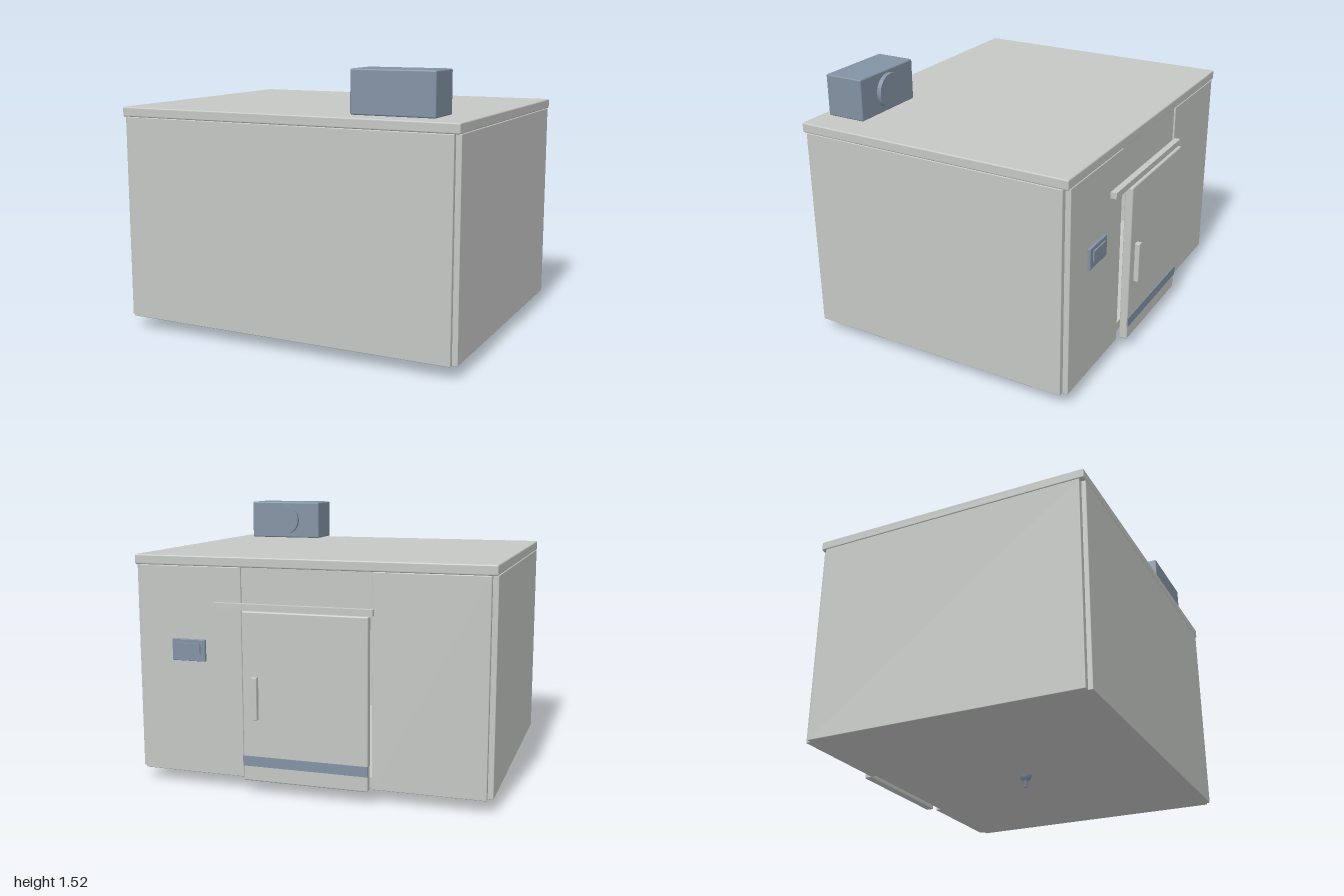
import * as THREE from 'three';
import { RoundedBoxGeometry } from 'three/addons/geometries/RoundedBoxGeometry.js';

export function createModel() {
  const model = new THREE.Group();
  model.name = 'coldRoom';
  const panelGrey = new THREE.MeshStandardMaterial({ color: 0xc4c7c4 });
  panelGrey.name = 'panelGrey';
  const steelBlue = new THREE.MeshStandardMaterial({ color: 0x8292a3 });
  steelBlue.name = 'steelBlue';

  const add = (name, geometry, material, parent = model) => {
    const mesh = new THREE.Mesh(geometry, material);
    mesh.name = name;
    parent.add(mesh);
    return mesh;
  };
  // box given by its limits on each axis, with optional softened edges
  const box = (name, [x0, x1], [y0, y1], [z0, z1], material, radius = 0, parent = model) => {
    const size = [x1 - x0, y1 - y0, z1 - z0];
    const geometry = radius
      ? new RoundedBoxGeometry(...size, 2, radius)
      : new THREE.BoxGeometry(...size);
    const mesh = add(name, geometry, material, parent);
    mesh.position.set((x0 + x1) / 2, (y0 + y1) / 2, (z0 + z1) / 2);
    return mesh;
  };

  // Insulated shell: the wall panels leave a small notch at every corner
  const wallY = [0.07, 1.225];
  box('floor', [-0.96, 0.96], [0.07, 0.125], [-0.73, 0.81], panelGrey);
  box('roof', [-1, 1], [1.225, 1.28], [-0.765, 0.84], panelGrey, 0.008);
  box('frontWall', [-0.97, 0.97], wallY, [0.785, 0.84], panelGrey, 0.004);
  box('leftWall', [0.945, 1], wallY, [-0.735, 0.815], panelGrey, 0.004);
  box('rightWall', [-1, -0.945], wallY, [-0.735, 0.815], panelGrey, 0.004);
  box('backWallLeft', [0.37, 0.97], wallY, [-0.765, -0.71], panelGrey, 0.004);
  box('backWallRight', [-0.97, -0.36], wallY, [-0.765, -0.71], panelGrey, 0.004);
  box('doorLintel', [-0.36, 0.37], [0.98, 1.225], [-0.755, -0.71], panelGrey);

  // Sliding door with its rail, handle and kick plate
  const door = new THREE.Group();
  door.name = 'slidingDoor';
  model.add(door);
  box('doorLeaf', [-0.353, 0.347], [0.07, 1.0], [-0.817, -0.77], panelGrey, 0.008, door);
  box('doorRail', [-0.37, 0.52], [1.0, 1.035], [-0.8, -0.765], panelGrey, 0, door);
  box('doorHandle', [0.255, 0.287], [0.415, 0.65], [-0.845, -0.815], panelGrey, 0.004, door);
  box('kickPlate', [-0.354, 0.348], [0.155, 0.21], [-0.823, -0.815], steelBlue, 0, door);

  // Control panel beside the door
  box('controlPanel', [0.58, 0.775], [0.705, 0.825], [-0.782, -0.764], steelBlue, 0.003);
  box('controlDisplay', [0.607, 0.745], [0.745, 0.803], [-0.79, -0.78], steelBlue);

  // Cooling unit on the roof with a round fan housing facing back
  box('coolingUnit', [0.387, 0.85], [1.288, 1.52], [0.545, 0.775], steelBlue, 0.008);
  const fan = add('fanHousing', new THREE.CylinderGeometry(0.096, 0.096, 0.03, 40), steelBlue);
  fan.rotation.x = Math.PI / 2;
  fan.position.set(0.62, 1.405, 0.535);

  // Floor drain: a bowl running into a short pipe
  const profile = [[0, 0], [0.01, 0], [0.01, 0.035], [0.022, 0.043], [0.031, 0.055], [0.035, 0.072]];
  const drain = add('floorDrain', new THREE.LatheGeometry(
    profile.map(([x, y]) => new THREE.Vector2(x, y)), 28), steelBlue);
  drain.position.z = 0.04;

  return model;
}
